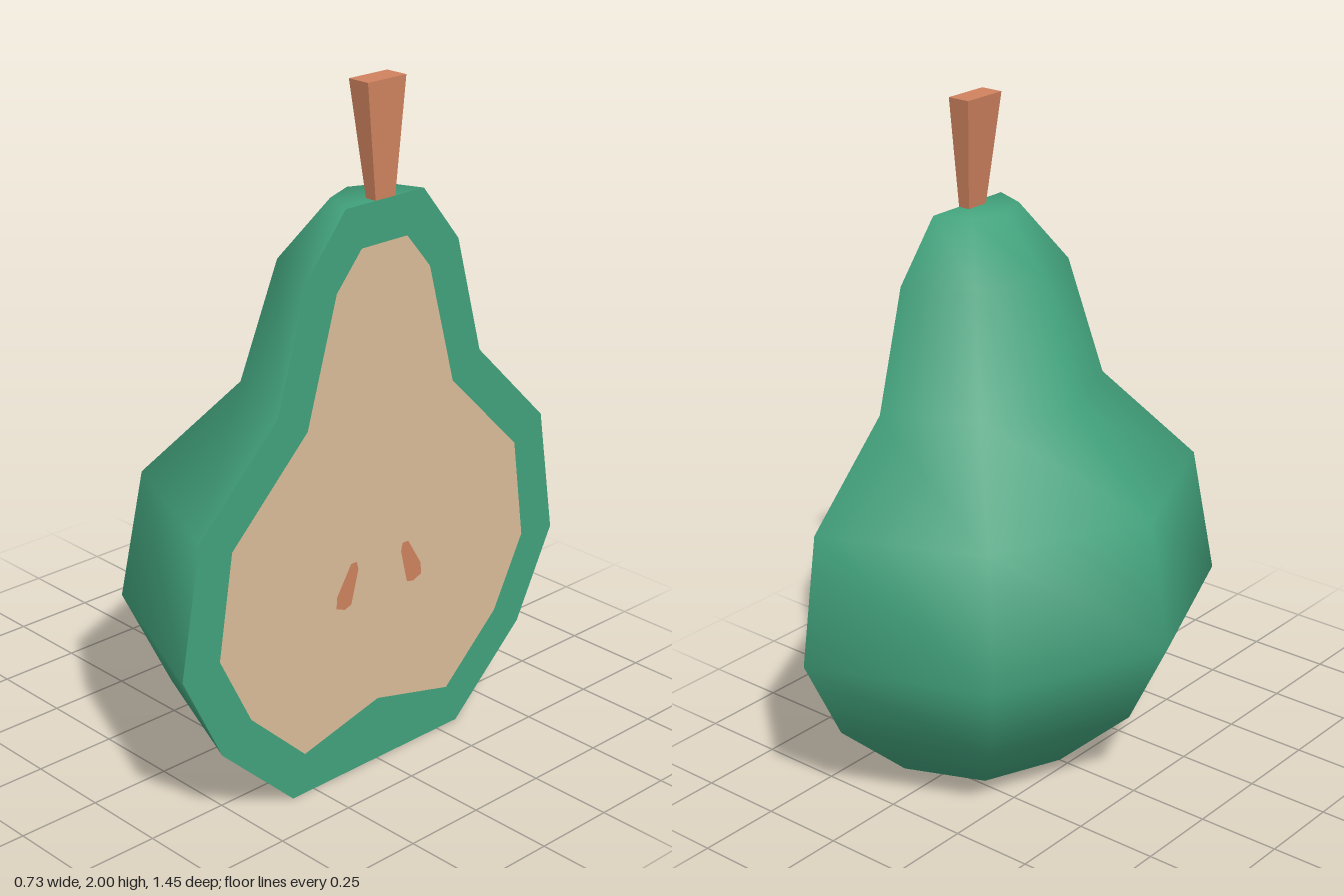
import * as THREE from 'three';

const CUT_X = 0.36; // plane of the cut face
const V = (p) => new THREE.Vector2(p[0], p[1]);

// Full symmetric outline from its right half
const mirrored = (half) => [
  ...half.map(V),
  ...half.filter((p) => p[0] > 0).reverse().map(([x, y]) => new THREE.Vector2(-x, y)),
];

export function createModel() {
  const group = new THREE.Group();
  const skinGreen = new THREE.MeshStandardMaterial({ name: 'skinGreen', color: 0x42a27c });
  const fleshCream = new THREE.MeshStandardMaterial({ name: 'fleshCream', color: 0xdcbd9a });
  const woodBrown = new THREE.MeshStandardMaterial({ name: 'woodBrown', color: 0xce825e });

  const add = (name, geometry, material) => {
    const mesh = new THREE.Mesh(geometry, material);
    mesh.name = name;
    group.add(mesh);
    return mesh;
  };
  // Flat face lying in the cut plane, looking towards +x
  const addCutFace = (name, outline, holes, material) => {
    const shape = new THREE.Shape(outline);
    shape.holes = holes.map((h) => new THREE.Path(h));
    const geometry = new THREE.ShapeGeometry(shape).rotateY(Math.PI / 2);
    add(name, geometry, material).position.x = CUT_X;
  };

  // Rounded skin: half a turn in four segments
  const profile = [
    [0.33, 0], [0.59, 0.24], [0.725, 0.51], [0.66, 0.89],
    [0.385, 1.16], [0.285, 1.51], [0.145, 1.68],
  ];
  const lathePoints = [[0, 0], ...profile, [0, 1.68]].map(V);
  add('skin', new THREE.LatheGeometry(lathePoints, 4, Math.PI, Math.PI), skinGreen).position.x = CUT_X;

  // Cut face: rim of skin, flesh and two seeds
  const flesh = mirrored([
    [0, 0.195], [0.285, 0.125], [0.485, 0.31], [0.595, 0.525],
    [0.548, 0.83], [0.278, 1.095], [0.175, 1.455], [0.085, 1.56],
  ]);
  const seed = [
    [0.09, 0.655], [0.112, 0.655], [0.165, 0.57], [0.167, 0.535],
    [0.135, 0.522], [0.11, 0.53], [0.084, 0.63],
  ];
  const seeds = [1, -1].map((s) => seed.map(([x, y]) => new THREE.Vector2(s * x, y)));
  addCutFace('skinRim', mirrored(profile), [flesh], skinGreen);
  addCutFace('flesh', flesh, seeds, fleshCream);
  seeds.forEach((outline, i) => addCutFace(i ? 'leftSeed' : 'rightSeed', outline, [], woodBrown));

  // Halved stem, narrowing to half width at its foot
  const stem = new THREE.BoxGeometry(0.07, 0.32, 0.14).translate(-0.035, 0.16, 0);
  const pos = stem.attributes.position;
  for (let i = 0; i < pos.count; i++) {
    const k = pos.getY(i) < 0.01 ? 0.52 : 1;
    pos.setX(i, pos.getX(i) * k);
    pos.setZ(i, pos.getZ(i) * k);
  }
  stem.computeVertexNormals();
  add('stem', stem, woodBrown).position.set(CUT_X, 1.68, 0);

  return group;
}
